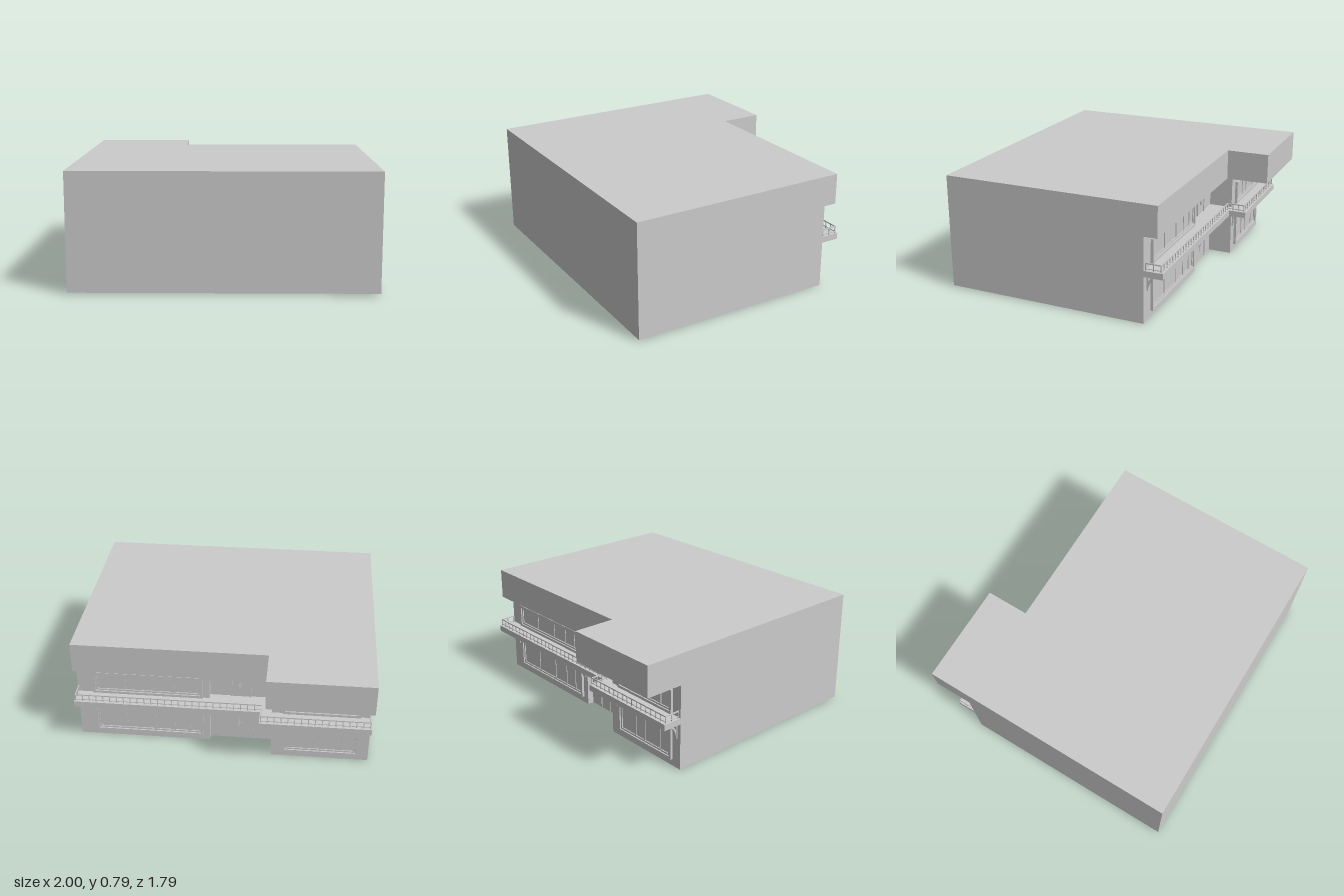
import * as THREE from 'three';

const grey = new THREE.MeshStandardMaterial({ color: 0xcccccc, flatShading: true });

function add(parent, name, geometry) {
  const mesh = new THREE.Mesh(geometry, grey);
  mesh.name = name;
  parent.add(mesh);
  return mesh;
}

// Box given by its two opposite corners
function box(parent, name, x0, x1, y0, y1, z0, z1) {
  const m = add(parent, name, new THREE.BoxGeometry(Math.abs(x1 - x0), Math.abs(y1 - y0), Math.abs(z1 - z0)));
  m.position.set((x0 + x1) / 2, (y0 + y1) / 2, (z0 + z1) / 2);
  return m;
}

// Upright prism over a floor plan of [x, z] points
function prism(parent, name, plan, y0, y1) {
  const shape = new THREE.Shape(plan.map(([x, z]) => new THREE.Vector2(x, -z)));
  const g = new THREE.ExtrudeGeometry(shape, { depth: y1 - y0, bevelEnabled: false });
  g.rotateX(-Math.PI / 2).translate(0, y0, 0);
  return add(parent, name, g);
}

function group(parent, name) {
  const g = new THREE.Group();
  g.name = name;
  parent.add(g);
  return g;
}

// Raised frame on a wall that faces -z
function frame(parent, x0, x1, y0, y1, wall, w, out) {
  const z = wall - out;
  box(parent, 'frameSide', x0, x0 + w, y0, y1, wall, z);
  box(parent, 'frameSide', x1 - w, x1, y0, y1, wall, z);
  box(parent, 'frameTop', x0 + w, x1 - w, y1 - w, y1, wall, z);
  box(parent, 'frameBottom', x0 + w, x1 - w, y0, y0 + w, wall, z);
}

function buildWindow(parent, x0, x1, y0, y1, wall, mullions) {
  const g = group(parent, 'window');
  frame(g, x0, x1, y0, y1, wall, 0.018, 0.018);
  frame(g, x0 + 0.018, x1 - 0.018, y0 + 0.018, y1 - 0.018, wall, 0.012, 0.009);
  box(g, 'glass', x0 + 0.03, x1 - 0.03, y0 + 0.03, y1 - 0.03, wall, wall - 0.002);
  for (const x of mullions) box(g, 'mullion', x - 0.005, x + 0.005, y0 + 0.03, y1 - 0.03, wall, wall - 0.007);
}

// Curved bracket with a wall plate, carrying the balcony
function buildBracket(parent, x, wall) {
  const g = group(parent, 'bracket');
  box(g, 'wallPlate', x - 0.014, x + 0.014, 0.21, 0.318, wall, wall - 0.01);
  box(g, 'arm', x - 0.012, x + 0.012, 0.31, 0.32, wall, wall - 0.09);
  const s = new THREE.Shape();
  s.moveTo(0.008, 0.215);
  s.quadraticCurveTo(0.015, 0.295, 0.09, 0.312);
  s.lineTo(0.07, 0.316);
  s.quadraticCurveTo(0.008, 0.305, 0.0, 0.23);
  s.closePath();
  const geo = new THREE.ExtrudeGeometry(s, { depth: 0.02, bevelEnabled: false, curveSegments: 8 });
  geo.translate(0, 0, -0.01).rotateY(Math.PI / 2).translate(x, 0, wall);
  add(g, 'strut', geo);
}

// Two rails and evenly spaced posts along a path of [x, z] points
function buildRailing(parent, path) {
  const g = group(parent, 'railing');
  const t = 0.003;
  for (let i = 0; i + 1 < path.length; i++) {
    const [ax, az] = path[i], [bx, bz] = path[i + 1];
    const x0 = Math.min(ax, bx) - t, x1 = Math.max(ax, bx) + t;
    const z0 = Math.min(az, bz) - t, z1 = Math.max(az, bz) + t;
    box(g, 'topRail', x0, x1, 0.404, 0.412, z0, z1);
    box(g, 'lowerRail', x0, x1, 0.37, 0.375, z0, z1);
    const n = Math.max(1, Math.round(Math.hypot(bx - ax, bz - az) / 0.046));
    for (let k = i ? 1 : 0; k <= n; k++) {
      const x = ax + (bx - ax) * k / n, z = az + (bz - az) * k / n;
      box(g, 'post', x - t, x + t, 0.36, 0.405, z - t, z + t);
    }
  }
}

export function createModel() {
  const model = new THREE.Group();
  model.name = 'building';
  const wallA = -0.51, wallB = -0.63, wallDoor = -0.465;

  // Lower storeys, the underside falling slightly to the back
  const lower = prism(model, 'lowerStoreys', [
    [-1, 0.895], [1, 0.895], [1, wallA], [0.09, wallA], [0.09, wallDoor],
    [-0.34, wallDoor], [-0.34, wallB], [-1, wallB],
  ], 0, 0.583);
  const p = lower.geometry.attributes.position;
  for (let i = 0; i < p.count; i++) {
    if (p.getY(i) < 0.01) p.setY(i, 0.01 * (p.getZ(i) - wallB) / (0.895 - wallB));
  }
  lower.geometry.computeVertexNormals();

  // Overhanging top storey
  prism(model, 'topStorey', [
    [-1, 0.895], [1, 0.895], [1, -0.6], [-0.31, -0.6], [-0.31, -0.895], [-1, -0.895],
  ], 0.583, 0.793);

  // Balcony and railing
  prism(model, 'balconySlab', [
    [1, wallA], [1, -0.637], [-0.262, -0.637], [-0.262, -0.76], [-1, -0.76],
    [-1, wallB], [-0.34, wallB], [-0.34, wallDoor], [0.09, wallDoor], [0.09, wallA],
  ], 0.318, 0.36);
  buildRailing(model, [
    [0.99, -0.52], [0.99, -0.623], [-0.272, -0.623], [-0.272, -0.745], [-0.99, -0.745], [-0.99, -0.64],
  ]);
  for (const x of [0.94, 0.115]) buildBracket(model, x, wallA);
  for (const x of [-0.375, -0.96]) buildBracket(model, x, wallB);

  // Windows on both floors
  for (const [y0, y1] of [[0.045, 0.28], [0.365, 0.53]]) {
    buildWindow(model, 0.135, 0.89, y0, y1, wallA, [0.67, 0.47, 0.335, 0.23]);
    buildWindow(model, -0.93, -0.415, y0, y1, wallB, [-0.58, -0.67, -0.82]);
  }

  // Entrance and balcony doors, each with two leaves
  for (const [x0, x1, y0, y1] of [[-0.22, -0.01, 0.006, 0.235], [-0.19, -0.05, 0.36, 0.53]]) {
    const door = group(model, 'door');
    const mid = (x0 + x1) / 2;
    box(door, 'doorPost', x0, x0 + 0.01, y0, y1, wallDoor, wallDoor - 0.01);
    box(door, 'doorPost', x1 - 0.01, x1, y0, y1, wallDoor, wallDoor - 0.01);
    box(door, 'lintel', x0, x1, y1 - 0.01, y1, wallDoor, wallDoor - 0.012);
    for (const s of [-1, 1]) {
      const outer = s < 0 ? x0 + 0.012 : x1 - 0.012;
      box(door, 'leaf', mid + s * 0.002, outer, y0, y1 - 0.012, wallDoor, wallDoor - 0.004);
      const h = mid + s * 0.011, hy = y0 + (y1 - y0) * 0.5;
      box(door, 'handle', h - 0.003, h + 0.003, hy - 0.018, hy + 0.018, wallDoor, wallDoor - 0.012);
    }
  }
  return model;
}
